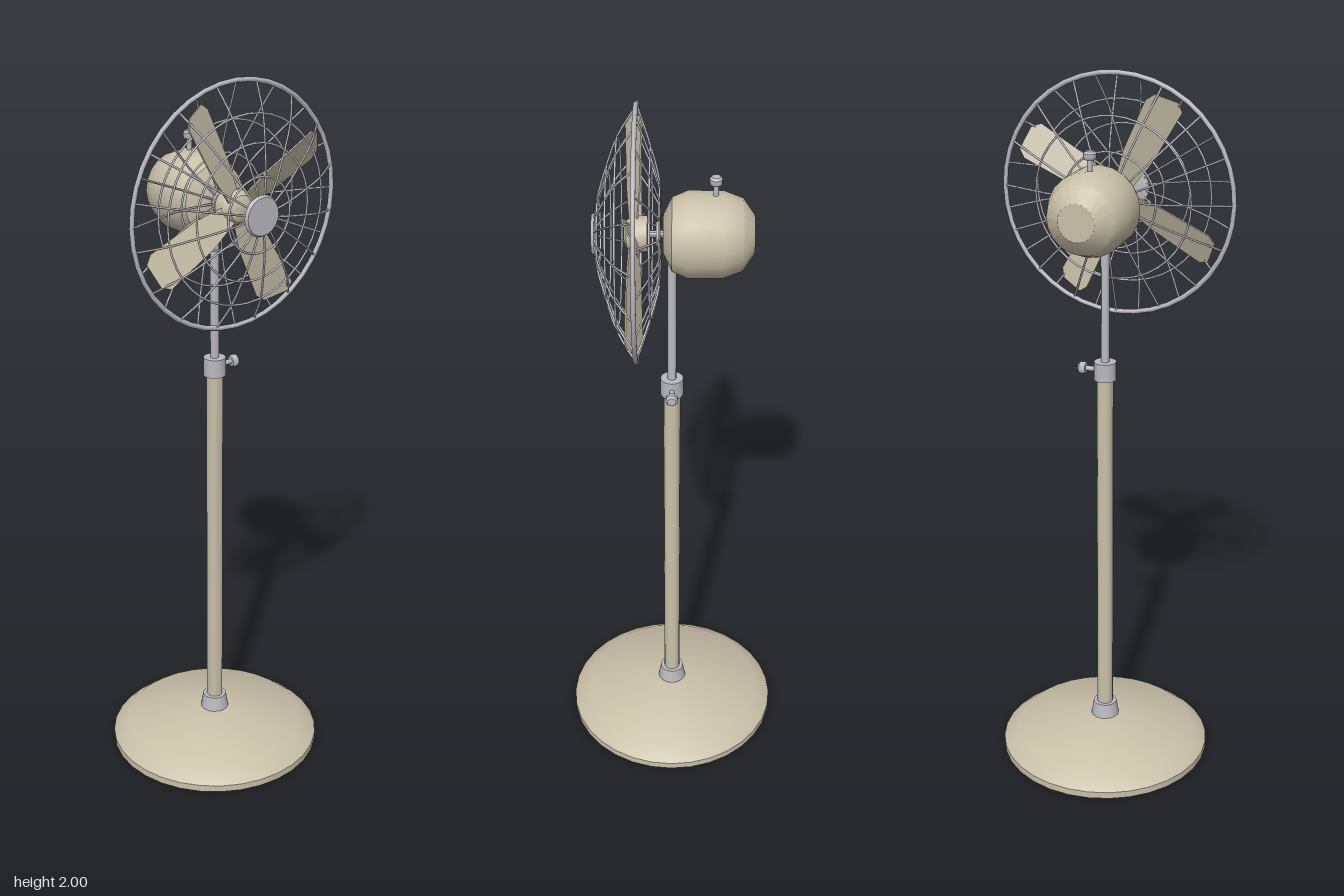
import * as THREE from 'three';
import { toCreasedNormals } from 'three/addons/utils/BufferGeometryUtils.js';

const FAN_Y = 1.667;

export function createModel() {
  const enamel = new THREE.MeshStandardMaterial({ color: 0xc9c0a9 });
  enamel.name = 'beige enamel';
  const steel = new THREE.MeshStandardMaterial({ color: 0xb9b9c0 });
  steel.name = 'steel';
  const blade = new THREE.MeshStandardMaterial({ color: 0xc4bda6 });
  blade.name = 'blade enamel';

  const model = new THREE.Group();
  model.name = 'pedestalFan';

  const add = (parent, name, geometry, material) => {
    const mesh = new THREE.Mesh(geometry, material);
    mesh.name = name;
    parent.add(mesh);
    return mesh;
  };
  // Turned part: profile of [radius, height] pairs, from bottom to top
  const turned = (parent, name, profile, sides, material) => {
    const g = new THREE.LatheGeometry(profile.map(([r, h]) => new THREE.Vector2(r, h)), sides);
    return add(parent, name, toCreasedNormals(g, 0.6), material);
  };
  const rod = (r, y0, y1) => [[0, y0], [r, y0], [r, y1], [0, y1]];

  // Stand
  turned(model, 'base', [[0, 0], [0.305, 0], [0.305, 0.02], [0.26, 0.056], [0.04, 0.096], [0, 0.096]], 32, enamel);
  turned(model, 'baseCollar', [[0, 0.09], [0.042, 0.09], [0.034, 0.138], [0, 0.138]], 16, steel);
  turned(model, 'outerPole', rod(0.023, 0.13, 1.18), 16, enamel);
  turned(model, 'heightCollar', rod(0.031, 1.172, 1.224), 16, steel);
  turned(model, 'innerPole', rod(0.012, 1.22, 1.6), 12, steel);

  // Knobs: a thin stem with a wider head
  const knob = (name) => turned(model, name,
    [[0, 0], [0.007, 0], [0.007, 0.031], [0.014, 0.031], [0.017, 0.036], [0.017, 0.047], [0.012, 0.053], [0, 0.053]], 12, steel);
  const clamp = knob('heightKnob');
  clamp.position.set(0.025, 1.198, 0);
  clamp.rotation.z = -Math.PI / 2;
  knob('swingKnob').position.set(0, FAN_Y + 0.11, -0.11);

  // Head: everything turned about the fan's z axis
  const head = new THREE.Group();
  head.name = 'fanHead';
  head.position.y = FAN_Y;
  model.add(head);
  const turnedZ = (name, profile, sides, material) => {
    const mesh = turned(head, name, profile, sides, material);
    mesh.rotation.x = Math.PI / 2;
    return mesh;
  };
  turnedZ('motorHousing', [[0, -0.21], [0.05, -0.21], [0.093, -0.18], [0.112, -0.13], [0.112, -0.04],
    [0.095, 0], [0.05, 0.022], [0, 0.022]], 20, enamel);
  turnedZ('shaft', rod(0.01, 0.015, 0.07), 10, steel);
  turnedZ('rearCageHub', rod(0.032, 0.028, 0.04), 16, steel);
  turnedZ('bladeHub', [[0, 0.062], [0.047, 0.062], [0.047, 0.095], [0.036, 0.115], [0.02, 0.122], [0, 0.122]], 16, enamel);
  turnedZ('frontCap', [[0, 0.191], [0.044, 0.191], [0.055, 0.196], [0.05, 0.204], [0, 0.205]], 20, steel);

  // Blades: flat paddles widening outwards, each pitched about its own axis
  const paddle = new THREE.Shape();
  paddle.moveTo(0.035, -0.026);
  paddle.lineTo(0.12, -0.044);
  paddle.lineTo(0.27, -0.053);
  paddle.lineTo(0.295, -0.038);
  paddle.lineTo(0.3, 0.03);
  paddle.lineTo(0.28, 0.05);
  paddle.lineTo(0.12, 0.042);
  paddle.lineTo(0.035, 0.026);
  const paddleGeometry = new THREE.ExtrudeGeometry(paddle, { depth: 0.004, bevelEnabled: false });
  paddleGeometry.translate(0, 0, -0.002);
  paddleGeometry.rotateX(0.42);
  for (let i = 0; i < 4; i++) {
    const mesh = add(head, 'blade', paddleGeometry, blade);
    mesh.position.z = 0.098;
    mesh.rotation.z = 0.48 + i * Math.PI / 2;
  }

  // Cage: outer rim, hoops and curved spokes
  const cage = new THREE.Group();
  cage.name = 'cage';
  head.add(cage);
  const hoop = (name, r, z, tube) => {
    add(cage, name, new THREE.TorusGeometry(r, tube, 6, 40), steel).position.z = z;
  };
  hoop('rim', 0.326, 0.09, 0.007);
  const spokes = (name, profile, count, offset) => {
    const path = new THREE.CatmullRomCurve3(profile.map(([r, z]) => new THREE.Vector3(r, 0, z)));
    const geometry = new THREE.TubeGeometry(path, 10, 0.003, 5);
    for (let i = 0; i < count; i++) {
      add(cage, name, geometry, steel).rotation.z = (i + offset) * 2 * Math.PI / count;
    }
  };
  const front = [[0.326, 0.09], [0.25, 0.137], [0.18, 0.163], [0.1, 0.187], [0.04, 0.196]];
  const rear = [[0.326, 0.09], [0.22, 0.054], [0.13, 0.031], [0.03, 0.032]];
  spokes('frontSpoke', front, 16, 0.5);
  spokes('rearSpoke', rear, 16, 0);
  front.slice(1, 4).forEach(([r, z]) => hoop('frontHoop', r, z, 0.003));
  rear.slice(1, 3).forEach(([r, z]) => hoop('rearHoop', r, z, 0.003));

  return model;
}
